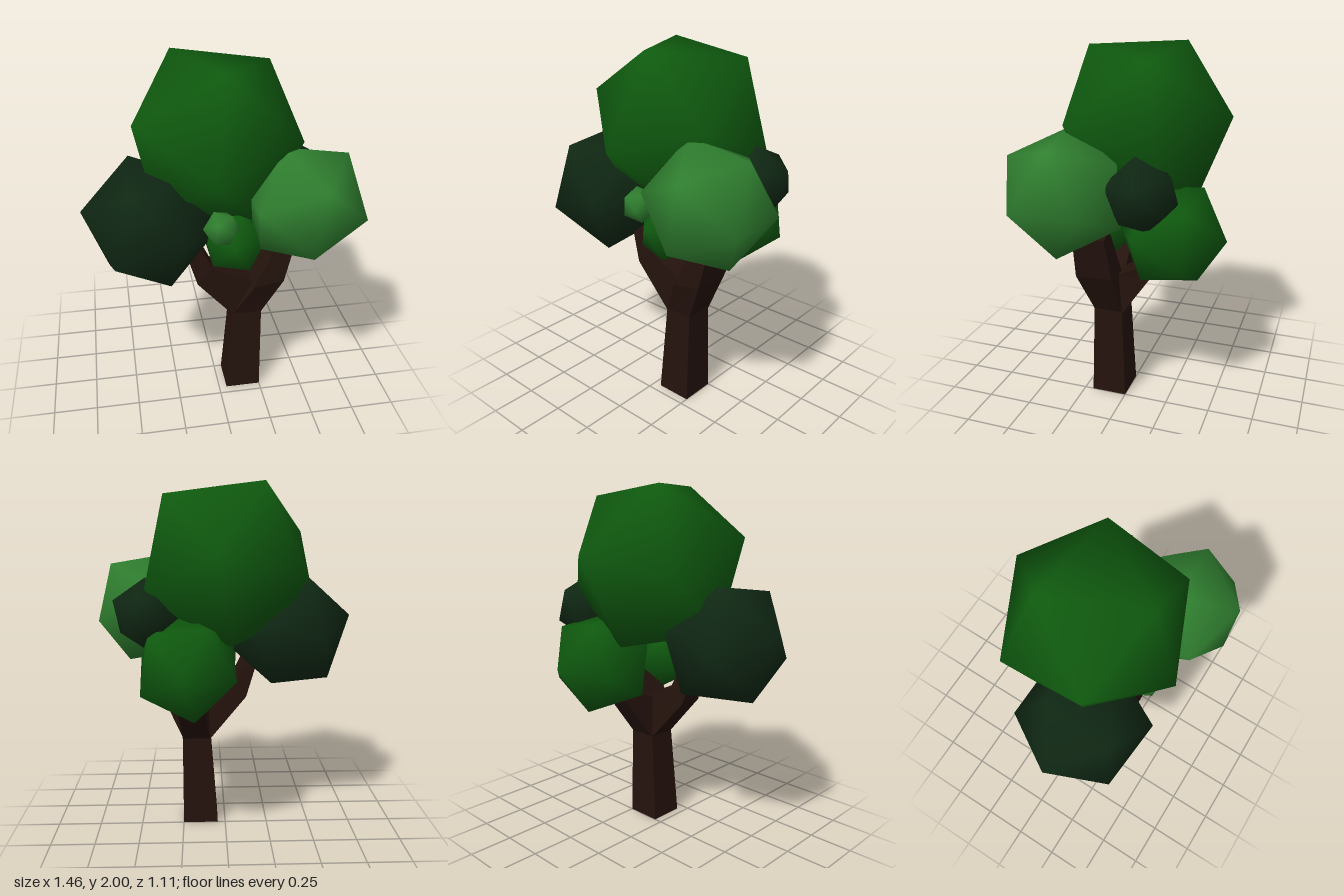
import * as THREE from 'three';

const V = (a) => new THREE.Vector3(...a);
const mat = (color, flatShading = false) => new THREE.MeshStandardMaterial({ color, flatShading });

// Orthonormal frame with its first axis along p and its second towards q
function frame(p, q) {
  const e1 = p.clone().normalize();
  const e2 = q.clone().addScaledVector(e1, -q.dot(e1)).normalize();
  return new THREE.Matrix4().makeBasis(e1, e2, e1.clone().cross(e2));
}

// Smooth-shaded icosahedron, turned so two neighbouring corners point along p and q
function foliage(name, center, radius, p, q, material) {
  const geo = new THREE.IcosahedronGeometry(1, 0);
  const t = (1 + Math.sqrt(5)) / 2;
  const source = frame(V([-1, t, 0]), V([1, t, 0]));
  geo.applyMatrix4(frame(V(p), V(q)).multiply(source.invert()));
  geo.setAttribute('normal', geo.attributes.position.clone());
  geo.scale(radius, radius, radius);
  geo.setAttribute('normal', new THREE.BufferAttribute(
    geo.attributes.position.array.map((v) => v / radius), 3));
  const mesh = new THREE.Mesh(geo, material);
  mesh.position.set(...center);
  mesh.name = name;
  return mesh;
}

// Four-sided limb through sections [a0, y0, a1, y1, b0, b1]:
// an edge from (a0, y0) to (a1, y1), spread from b0 to b1 across.
// a is x and b is z; with alongZ, a is z and b is x.
function limb(name, sections, material, alongZ = false) {
  const pos = [];
  const index = [];
  for (const [a0, y0, a1, y1, b0, b1] of sections) {
    const ring = alongZ
      ? [[b1, y0, a0], [b0, y0, a0], [b0, y1, a1], [b1, y1, a1]]
      : [[a0, y0, b0], [a0, y0, b1], [a1, y1, b1], [a1, y1, b0]];
    pos.push(...ring.flat());
  }
  for (let s = 0; s < sections.length - 1; s++) {
    for (let i = 0; i < 4; i++) {
      const a = s * 4 + i, b = s * 4 + (i + 1) % 4;
      index.push(a, b, b + 4, a, b + 4, a + 4);
    }
  }
  const n = pos.length / 3 - 4;
  index.push(0, 2, 1, 0, 3, 2, n, n + 1, n + 2, n, n + 2, n + 3);
  const geo = new THREE.BufferGeometry();
  geo.setAttribute('position', new THREE.Float32BufferAttribute(pos, 3));
  geo.setIndex(index);
  const flat = geo.toNonIndexed();
  flat.computeVertexNormals();
  const mesh = new THREE.Mesh(flat, material);
  mesh.name = name;
  return mesh;
}

export function createModel() {
  const tree = new THREE.Group();
  tree.name = 'tree';
  const bark = mat(0x25130d, true);
  const green = mat(0x0f5a0f);
  const light = mat(0x308030);
  const dark = mat(0x102814);

  // Trunk running into the right-hand fork
  tree.add(limb('trunk', [
    [0.045, 0, 0.25, 0, 0, 0.2],
    [0.085, 0.54, 0.25, 0.54, 0.015, 0.18],
    [0.19, 0.75, 0.36, 0.78, 0.03, 0.24],
    [0.33, 1.05, 0.42, 1.03, 0.05, 0.23],
  ], bark));

  // Side and back branches
  tree.add(limb('sideBranch', [
    [0.085, 0.53, 0.2, 0.75, 0.02, 0.18],
    [-0.125, 0.775, -0.04, 0.87, 0.05, 0.19],
    [-0.2, 1.02, -0.1, 1.0, 0.07, 0.17],
  ], bark));
  tree.add(limb('backBranch', [
    [0.015, 0.53, 0.06, 0.76, 0.09, 0.25],
    [-0.17, 0.8, -0.1, 0.84, 0.13, 0.28],
    [-0.25, 0.97, -0.15, 0.97, 0.15, 0.26],
  ], bark, true));

  // Foliage clumps
  tree.add(
    foliage('crown', [0, 1.57, -0.03], 0.51, [-0.2, 0.43, -0.19], [0.33, 0.37, -0.14], green),
    foliage('darkClump', [-0.37, 1.165, 0.125], 0.37, [-0.36, 0.085, -0.01], [-0.15, -0.13, 0.31], dark),
    foliage('lightClump', [0.437, 1.28, 0.255], 0.345, [0.288, -0.045, 0.165], [0.288, -0.05, -0.19], light),
    foliage('smallDarkClump', [0.425, 1.3, -0.155], 0.2, [0.175, 0.08, -0.02], [0.1, -0.09, -0.145], dark),
    foliage('backClump', [0.21, 1.03, -0.26], 0.3, [0.02, 0, -0.295], [0.24, -0.12, -0.13], green),
    foliage('frontClump', [0.09, 1.02, 0.15], 0.19, [0.01, 0.18, 0.04], [0.14, 0.06, 0.1], green),
    foliage('smallLightClump', [-0.01, 1.18, 0.29], 0.1, [-0.1, 0.01, 0.01], [-0.04, 0.09, -0.02], light),
  );
  return tree;
}
